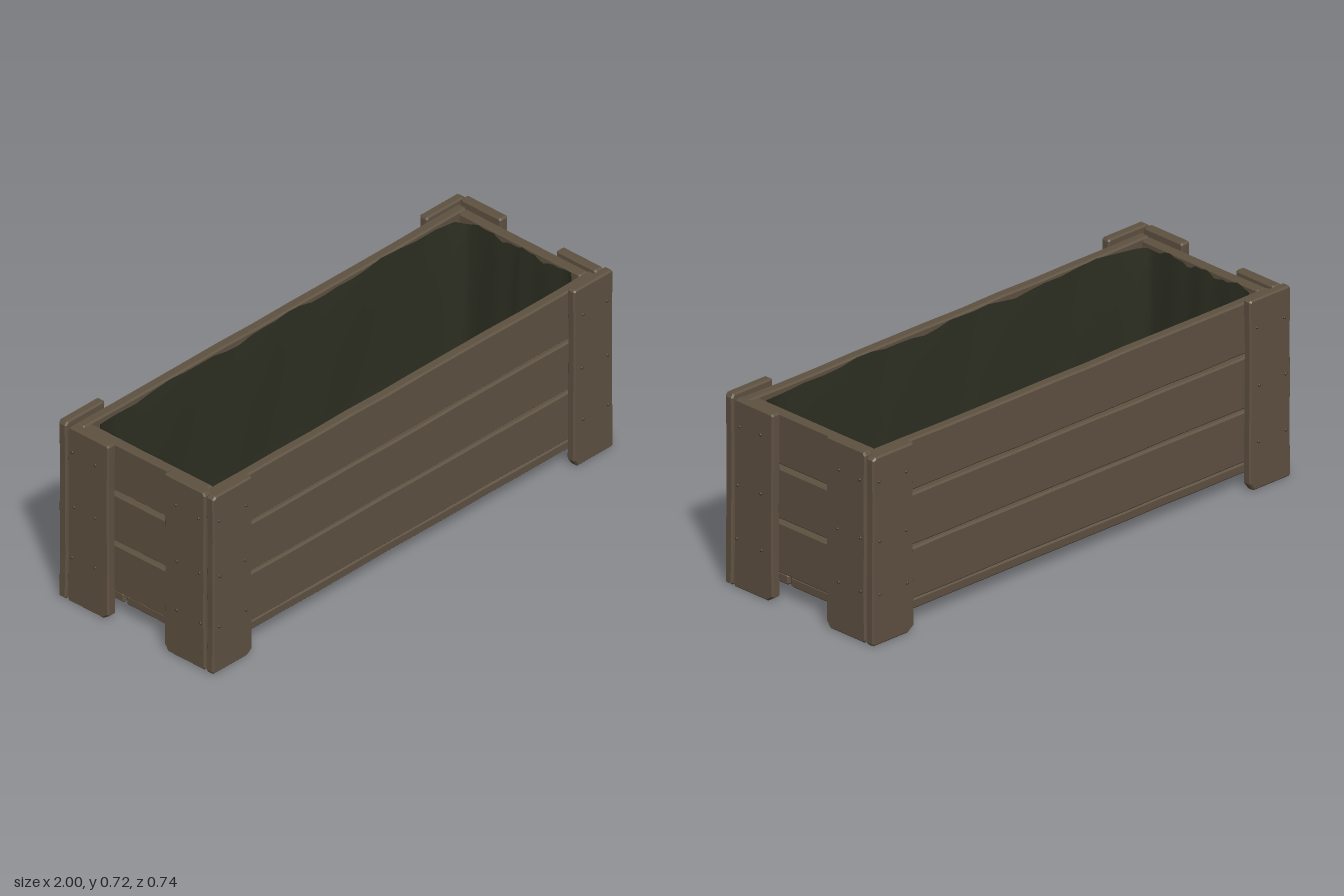
import * as THREE from 'three';

const wood = new THREE.MeshStandardMaterial({ color: 0x5e5141 });
wood.name = 'weathered wood';
const lining = new THREE.MeshStandardMaterial({ color: 0x2d2f22, side: THREE.DoubleSide });
lining.name = 'dark green lining';
const iron = new THREE.MeshStandardMaterial({ color: 0x463c31 });
iron.name = 'rusty nail';

// Small seeded generator, returns -1..1
let seed = 7;
const rnd = () => {
  seed = (seed * 16807) % 2147483647;
  return (seed / 2147483647) * 2 - 1;
};

// Hewn board in the xy plane, centred, with slightly uneven edges and bevels.
// cut = [bottom right, bottom left, top left, top right] corner chamfers
function boardGeometry(w, h, t, wobble = 0.002, cut = [0.005, 0.005, 0.005, 0.005]) {
  const x = w / 2, y = h / 2, b = 0.006;
  const corners = [[x, -y], [-x, -y], [-x, y], [x, y]].reverse();
  const cuts = [...cut].reverse();
  const pts = [];
  corners.forEach((c, i) => {
    const p = new THREE.Vector2(...c);
    const prev = new THREE.Vector2(...corners[(i + 3) % 4]);
    const next = new THREE.Vector2(...corners[(i + 1) % 4]);
    const toPrev = prev.clone().sub(p).normalize();
    const edge = next.clone().sub(p);
    const len = edge.length(), dir = edge.clone().normalize();
    pts.push(p.clone().addScaledVector(toPrev, cuts[i] * 1.4));
    pts.push(p.clone().addScaledVector(dir, cuts[i]));
    // worn dips along the long edges
    const n = Math.floor(len / 0.16);
    const inward = new THREE.Vector2(-dir.y, dir.x);
    for (let k = 1; k < n; k++) {
      pts.push(p.clone().addScaledVector(dir, (len * k) / n)
        .addScaledVector(inward, wobble * Math.abs(rnd())));
    }
  });
  const geo = new THREE.ExtrudeGeometry(new THREE.Shape(pts), {
    depth: t - 2 * b, bevelThickness: b, bevelSize: b, bevelOffset: -b, bevelSegments: 1,
  });
  return geo.translate(0, 0, -t / 2 + b);
}

function addBoard(parent, name, geo, pos, rot = [0, 0, 0]) {
  const mesh = new THREE.Mesh(geo, wood);
  mesh.name = name;
  mesh.position.set(...pos);
  mesh.rotation.set(...rot);
  parent.add(mesh);
}

// Open lining: rounded rectangular rings from the rim down, across the floor to the middle
function liningGeometry() {
  const rings = [[1, 0.69], [0.997, 0.6], [0.994, 0.4], [0.994, 0.2], [0.985, 0.13], [0.955, 0.105],
    [0.85, 0.1], [0.45, 0.1], [0, 0.1]];
  const n = 96, pos = [], index = [];
  rings.forEach(([s, y], r) => {
    for (let i = 0; i < n; i++) {
      const a = (i / n) * Math.PI * 2;
      const c = Math.cos(a), d = Math.sin(a);
      const k = Math.pow(Math.abs(c) ** 24 + Math.abs(d) ** 24, -1 / 24);
      const inset = (1 - s) * 0.3;
      const scale = r < 6 ? 1 : s;
      const fold = r > 0 && r < 6 ? 0.003 * (1 + Math.sin(i * 0.9 + r)) : 0;
      const hx = 0.907 * scale - (r < 6 ? inset : 0) - fold;
      const hz = 0.284 * scale - (r < 6 ? inset : 0) - fold;
      const rim = r === 0 ? 0.008 * Math.sin(i * 0.8) + 0.005 * Math.sin(i * 1.9) : 0;
      pos.push(c * k * hx, y + rim, d * k * hz);
    }
  });
  for (let r = 0; r < rings.length - 1; r++) {
    for (let i = 0; i < n; i++) {
      const j = (i + 1) % n, a = r * n, b = a + n;
      index.push(a + i, a + j, b + i, a + j, b + j, b + i);
    }
  }
  const geo = new THREE.BufferGeometry();
  geo.setAttribute('position', new THREE.Float32BufferAttribute(pos, 3));
  geo.setIndex(index);
  geo.computeVertexNormals();
  return geo;
}

export function createModel() {
  const planter = new THREE.Group();
  planter.name = 'planterBox';

  // Three stacked boards on each wall
  const rows = [0.196, 0.4, 0.606];
  for (const s of [1, -1]) {
    rows.forEach((y, i) => {
      addBoard(planter, 'longWallBoard', boardGeometry(1.905, 0.199, 0.04, 0.004), [0, y, s * 0.306]);
      addBoard(planter, 'endWallBoard', boardGeometry(0.575, i === 1 ? 0.192 : 0.194, 0.04),
        [s * 0.931, y, 0], [0, Math.PI / 2, 0]);
    });
  }

  // Three floor boards
  for (const z of [-0.217, 0.002, 0.219]) {
    addBoard(planter, 'floorBoard', boardGeometry(1.87, 0.206, 0.039, 0.004), [0, 0.075, z], [Math.PI / 2, 0, 0]);
  }

  // Corner posts: a wide board on the long side and one on the end, with nails
  const nailGeo = new THREE.SphereGeometry(0.006, 8, 6);
  const addNail = (x, y, z) => {
    const nail = new THREE.Mesh(nailGeo, iron);
    nail.name = 'nail';
    nail.position.set(x, y, z);
    planter.add(nail);
  };
  for (const sx of [1, -1]) {
    for (const sz of [1, -1]) {
      const h = 0.715 + 0.005 * rnd();
      const inner = 0.02, outer = 0.006;
      // outward-facing boards are turned, so the inner corner swaps sides
      const longCut = sx * sz > 0 ? [outer, inner, 0.006, 0.01] : [inner, outer, 0.01, 0.006];
      addBoard(planter, 'longSidePost', boardGeometry(0.197, h, 0.036, 0.004, longCut),
        [sx * 0.897, 0.004 + h / 2, sz * 0.347], [0, sz > 0 ? 0 : Math.PI, 0]);
      const h2 = sz * sx > 0 ? 0.711 : 0.721;
      const endCut = sx * sz > 0 ? [inner, outer, 0.01, 0.006] : [outer, inner, 0.006, 0.01];
      addBoard(planter, 'endPost', boardGeometry(0.195, h2, 0.038, 0.004, endCut),
        [sx * 0.975, 0.003 + h2 / 2, sz * 0.227], [0, sx * Math.PI / 2, 0]);
      for (const y of [0.19, 0.395, 0.615]) {
        for (const d of [0, 1]) {
          addNail(sx * ((d ? 0.965 : 0.837) + 0.006 * rnd()), y + 0.006 * rnd(), sz * 0.365);
          addNail(sx * 0.994, y + 0.006 * rnd(), sz * ((d ? 0.298 : 0.19) + 0.008 * rnd()));
        }
      }
    }
  }

  // Fabric lining inside
  const liner = new THREE.Mesh(liningGeometry(), lining);
  liner.name = 'lining';
  planter.add(liner);
  return planter;
}
